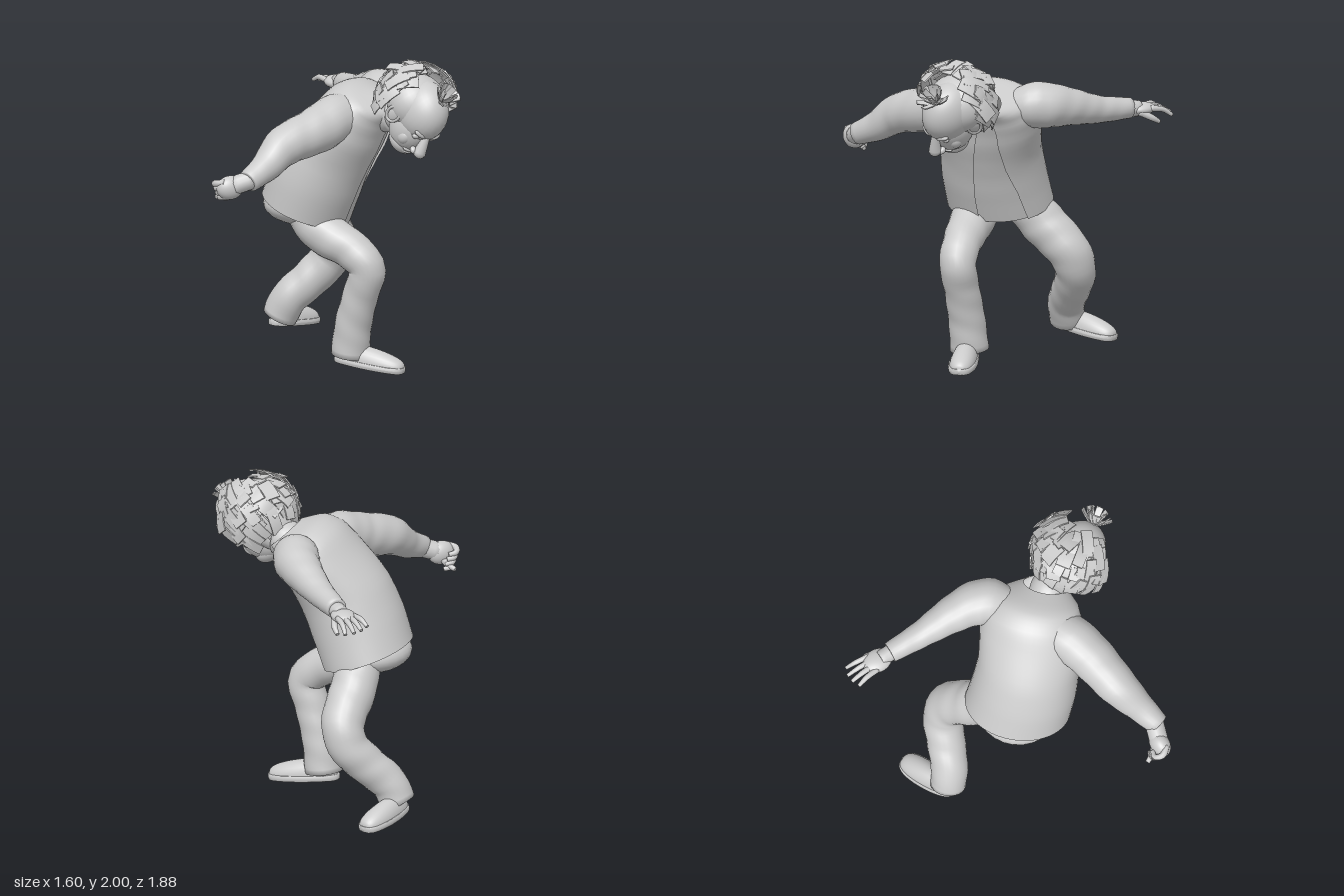
import * as THREE from 'three';

const V = (x, y, z) => new THREE.Vector3(x, y, z);
const mat = new THREE.MeshStandardMaterial({ color: 0xcccccc });
const thin = new THREE.MeshStandardMaterial({ color: 0xcccccc, side: THREE.DoubleSide });

let seed = 7;
const rnd = () => ((seed = (seed * 16807) % 2147483647) / 2147483647);
const jitter = (s) => (rnd() - 0.5) * 2 * s;

function part(parent, name, geometry, material = mat) {
  const mesh = new THREE.Mesh(geometry, material);
  mesh.name = name;
  parent.add(mesh);
  return mesh;
}

// Skin a list of point rings
function loft(rings, closed = true) {
  const n = rings[0].length;
  const index = [];
  for (let i = 0; i < rings.length - 1; i++) {
    for (let j = 0; j < (closed ? n : n - 1); j++) {
      const k = (j + 1) % n;
      const a = i * n + j, b = i * n + k, c = a + n, d = b + n;
      index.push(a, b, c, b, d, c);
    }
  }
  const g = new THREE.BufferGeometry().setFromPoints(rings.flat());
  g.setIndex(index);
  g.computeVertexNormals();
  return g;
}

// Round tube through [x, y, z, radius] stations, closed at both ends
function limb(stations, steps = 28, sides = 20, wrinkle = 0) {
  const curve = new THREE.CatmullRomCurve3(stations.map((s) => V(s[0], s[1], s[2])));
  const frames = curve.computeFrenetFrames(steps);
  const rings = [];
  const ring = (i, scale) => {
    const u = i / steps;
    const t = curve.getUtoTmapping(u) * (stations.length - 1);
    const k = Math.min(Math.floor(t), stations.length - 2);
    const r = THREE.MathUtils.lerp(stations[k][3], stations[k + 1][3], t - k) * scale;
    const p = curve.getPointAt(u);
    rings.push(Array.from({ length: sides }, (_, j) => {
      const a = (j / sides) * Math.PI * 2;
      const q = r * (1 + wrinkle * Math.sin(i * 1.3 + 2 * a));
      return p.clone().addScaledVector(frames.normals[i], q * Math.cos(a))
        .addScaledVector(frames.binormals[i], q * Math.sin(a));
    }));
  };
  ring(0, 0.001);
  for (let i = 0; i <= steps; i++) ring(i, 1);
  ring(steps, 0.75);
  ring(steps, 0.001);
  return loft(rings);
}

function ball(parent, name, pos, size) {
  const m = part(parent, name, new THREE.SphereGeometry(1, 28, 20));
  m.position.set(...pos);
  m.scale.set(...size);
  return m;
}

// Torso stations: centre, half width, half depth, forward lean, start and end angle of the opening
const TORSO = [
  [0.09, 0.98, -0.045, 0.33, 0.29, 0.36, -15, 39],
  [0.125, 1.17, 0.025, 0.325, 0.295, 0.38, -14, 34],
  [0.18, 1.35, 0.09, 0.315, 0.285, 0.45, -12, 24],
  [0.27, 1.52, 0.17, 0.33, 0.25, 0.6, -10, 16],
  [0.34, 1.64, 0.22, 0.315, 0.22, 0.75, -9, 12],
  [0.39, 1.695, 0.28, 0.26, 0.18, 0.85, -9, 10],
  [0.445, 1.69, 0.37, 0.14, 0.12, 0.95, -9, 9],
];

function torsoLoft(scale, open) {
  const centre = new THREE.CatmullRomCurve3(TORSO.map((s) => V(s[0], s[1], s[2])));
  const steps = 24, n = 48;
  const rings = [];
  for (let i = 0; i <= steps; i++) {
    const t = (i / steps) * (TORSO.length - 1);
    const k = Math.min(Math.floor(t), TORSO.length - 2);
    const [a, b, lean, g0, g1] = [3, 4, 5, 6, 7].map((c) => THREE.MathUtils.lerp(TORSO[k][c], TORSO[k + 1][c], t - k));
    const fwd = V(0.707, -lean, 0.707).normalize();
    const left = V(0.707, 0, -0.707);
    const p = centre.getPoint(i / steps);
    const from = open ? g1 : 0, to = open ? 360 + g0 : 360;
    rings.push(Array.from({ length: n }, (_, j) => {
      const ang = THREE.MathUtils.degToRad(from + ((to - from) * j) / (open ? n - 1 : n));
      return p.clone().addScaledVector(fwd, scale * b * Math.cos(ang)).addScaledVector(left, scale * a * Math.sin(ang));
    }));
  }
  return loft(rings, !open);
}

// Blunt-ended foot shape along z; height(y, z) gives the profile
function footShape(width, length, height) {
  const g = new THREE.SphereGeometry(1, 28, 24).rotateX(Math.PI / 2);
  const p = g.attributes.position;
  for (let i = 0; i < p.count; i++) {
    const z = p.getZ(i);
    const blunt = Math.pow(1.03 - z * z, -0.2);
    p.setXYZ(i, p.getX(i) * blunt * width * (1 + 0.14 * z), height(p.getY(i) * blunt, z), (z * length) / 2);
  }
  g.computeVertexNormals();
  return g;
}

function shoe(parent, name, pos, dir, length) {
  const g = new THREE.Group();
  g.name = name;
  g.position.set(...pos);
  g.lookAt(g.position.clone().add(V(...dir)));
  parent.add(g);
  part(g, 'shoeUpper', footShape(0.078, length * 0.97, (y, z) => 0.03 + Math.max(y, 0) * (0.095 - 0.025 * z)));
  part(g, 'shoeSole', footShape(0.087, length, (y) => 0.02 + THREE.MathUtils.clamp(y * 0.08, -0.02, 0.018)));
}

// Curved flat lock of hair, growing along +y
function lock(w, len, bend) {
  const g = new THREE.BoxGeometry(w, len, 0.008, 1, 4, 1);
  const p = g.attributes.position;
  for (let i = 0; i < p.count; i++) {
    const t = p.getY(i) / len;
    p.setZ(i, p.getZ(i) - bend * t * t);
  }
  g.computeVertexNormals();
  return g;
}

function buildHead() {
  const head = new THREE.Group();
  head.name = 'head';
  const f = V(0, -0.69, 0.72).normalize();
  const l = V(0.36, 0.675, 0.645).cross(f).normalize();
  head.quaternion.setFromRotationMatrix(new THREE.Matrix4().makeBasis(l, f.clone().cross(l), f));
  head.position.set(0.515, 1.67, 0.62);

  ball(head, 'cranium', [0, 0.06, 0.01], [0.15, 0.185, 0.195]);
  ball(head, 'face', [0, -0.06, 0.05], [0.13, 0.165, 0.145]);
  ball(head, 'jaw', [0, -0.165, 0.08], [0.1, 0.07, 0.095]);
  part(head, 'nose', limb([[0, 0.02, 0.18, 0.022], [0, -0.035, 0.21, 0.032], [0, -0.085, 0.235, 0.042], [0, -0.105, 0.24, 0.028]], 12, 14));
  ball(head, 'upperLip', [0, -0.14, 0.165], [0.06, 0.016, 0.024]);
  ball(head, 'lowerLip', [0, -0.168, 0.155], [0.048, 0.014, 0.026]);
  for (const s of [-1, 1]) {
    ball(head, 'nostril', [s * 0.034, -0.09, 0.21], [0.022, 0.02, 0.026]);
    ball(head, 'eye', [s * 0.06, -0.005, 0.165], [0.028, 0.02, 0.02]);
    ball(head, 'brow', [s * 0.06, 0.03, 0.178], [0.045, 0.016, 0.02]).rotation.set(0, s * 0.35, s * 0.2);
    ball(head, 'cheek', [s * 0.072, -0.08, 0.12], [0.045, 0.055, 0.045]);
    const ear = ball(head, 'ear', [s * 0.155, -0.03, 0.0], [0.018, 0.06, 0.04]);
    ear.rotation.y = -s * 0.5;
    const rim = part(head, 'earRim', new THREE.TorusGeometry(0.042, 0.01, 8, 20));
    rim.position.set(s * 0.165, -0.025, 0);
    rim.rotation.y = s * (Math.PI / 2 - 0.5);
    rim.scale.y = 1.35;
  }

  // Wreath of flat locks around the back and sides
  const hair = new THREE.Group();
  hair.name = 'hair';
  hair.position.set(-0.015, 0.03, -0.055);
  head.add(hair);
  ball(hair, 'hairBase', [0.015, 0.01, -0.01], [0.195, 0.17, 0.185]);
  [[-28, 12, 76], [-8, 14, 86], [10, 15, 92], [28, 14, 88], [45, 12, 78]].forEach(([lat, count, span], row) => {
    for (let i = 0; i < count; i++) {
      const a = THREE.MathUtils.degToRad(-span + (2 * span * i) / (count - 1) + jitter(5));
      const e = THREE.MathUtils.degToRad(lat + jitter(6));
      const m = part(hair, 'hairLock', lock(0.06 + 0.035 * rnd(), 0.13 + 0.06 * rnd(), 0.05));
      const r = 0.235 + 0.005 * row + jitter(0.015);
      m.position.set(Math.sin(a) * Math.cos(e) * r * 1.06, Math.sin(e) * r, -Math.cos(a) * Math.cos(e) * r);
      m.rotation.set(-e - 0.05 + jitter(0.3), Math.PI - a, jitter(0.3), 'YXZ');
    }
  });

  // Small splayed tuft on the crown
  const tuft = new THREE.Group();
  tuft.name = 'frontTuft';
  tuft.position.set(0, 0.225, 0.06);
  head.add(tuft);
  for (let i = 0; i < 16; i++) {
    const geo = lock(0.022 + 0.018 * rnd(), 0.13, 0.03).translate(0, 0.06, 0);
    part(tuft, 'tuftLock', geo).rotation.set(0.25 + 0.85 * rnd(), (i / 16) * Math.PI * 2, 0, 'YXZ');
  }
  return head;
}

export function createModel() {
  const model = new THREE.Group();
  model.name = 'leaningMan';

  // Open coat over shirt and hips
  part(model, 'coat', torsoLoft(1, true), thin);
  part(model, 'shirt', torsoLoft(0.95, false), thin);
  ball(model, 'hips', [0.09, 1.0, -0.045], [0.275, 0.13, 0.27]);
  part(model, 'neck', limb([[0.38, 1.61, 0.27, 0.09], [0.43, 1.63, 0.38, 0.1], [0.5, 1.65, 0.54, 0.1]], 10));
  part(model, 'collar', limb([[0.38, 1.61, 0.3, 0.1], [0.425, 1.63, 0.38, 0.118], [0.455, 1.64, 0.43, 0.115]], 8, 24));
  model.add(buildHead());

  // Sleeves
  part(model, 'rightSleeve', limb([[0.26, 1.63, 0.25, 0.13], [0.1, 1.62, 0.33, 0.15], [-0.05, 1.575, 0.385, 0.145],
    [-0.3, 1.51, 0.44, 0.125], [-0.45, 1.41, 0.5, 0.093], [-0.59, 1.345, 0.55, 0.07]], 30, 22, 0.012));
  part(model, 'leftSleeve', limb([[0.46, 1.64, 0.13, 0.1], [0.54, 1.66, 0.04, 0.145], [0.58, 1.655, -0.05, 0.142],
    [0.6, 1.63, -0.2, 0.118], [0.605, 1.585, -0.42, 0.085], [0.61, 1.565, -0.65, 0.065]], 30, 22, 0.012));

  // Open left hand
  const leftHand = new THREE.Group();
  leftHand.name = 'leftHand';
  model.add(leftHand);
  part(leftHand, 'leftWrist', limb([[0.61, 1.56, -0.6, 0.055], [0.61, 1.555, -0.72, 0.05]], 4, 14));
  ball(leftHand, 'leftPalm', [0.61, 1.55, -0.74], [0.075, 0.04, 0.095]);
  for (let i = 0; i < 4; i++) {
    const x = 0.56 + 0.034 * i, s = i - 1.5, end = -0.92 - (i === 1 || i === 2 ? 0.02 : 0);
    part(leftHand, 'leftFinger', limb([[x, 1.555, -0.77, 0.019], [x + 0.008 * s, 1.558 - 0.006 * i, -0.86, 0.017], [x + 0.016 * s, 1.53 - 0.01 * i, end, 0.012]], 10, 10));
  }
  part(leftHand, 'leftThumb', limb([[0.65, 1.54, -0.7, 0.024], [0.685, 1.5, -0.77, 0.02], [0.69, 1.47, -0.82, 0.013]], 10, 10));

  // Curled right hand
  const rightHand = new THREE.Group();
  rightHand.name = 'rightHand';
  model.add(rightHand);
  part(rightHand, 'rightWrist', limb([[-0.55, 1.355, 0.54, 0.06], [-0.67, 1.315, 0.505, 0.06]], 4, 14));
  ball(rightHand, 'rightPalm', [-0.69, 1.305, 0.5], [0.088, 0.075, 0.06]);
  for (let i = 0; i < 4; i++) {
    const y = 1.345 - 0.03 * i, x = -0.745 + 0.012 * i;
    part(rightHand, 'rightFinger', limb([[x + 0.01, y, 0.52, 0.021], [x - 0.03, y - 0.01, 0.47, 0.021],
      [x - 0.01, y - 0.025, 0.425, 0.018], [x + 0.035, y - 0.035, 0.435, 0.014]], 12, 10));
  }
  part(rightHand, 'rightThumb', limb([[-0.68, 1.28, 0.47, 0.024], [-0.71, 1.24, 0.43, 0.02], [-0.73, 1.225, 0.385, 0.014]], 10, 10));

  // Trouser legs
  part(model, 'rightTrouserLeg', limb([[0.03, 1.03, 0.0, 0.14], [0.09, 0.87, 0.165, 0.138], [0.215, 0.77, 0.335, 0.12],
    [0.28, 0.67, 0.415, 0.115], [0.26, 0.5, 0.37, 0.11], [0.235, 0.3, 0.315, 0.115], [0.225, 0.1, 0.285, 0.12]], 36, 24, 0.015));
  part(model, 'leftTrouserLeg', limb([[0.16, 1.03, -0.11, 0.13], [0.28, 0.84, -0.23, 0.145], [0.41, 0.66, -0.34, 0.135],
    [0.405, 0.54, -0.39, 0.127], [0.29, 0.4, -0.44, 0.12], [0.17, 0.28, -0.49, 0.115], [0.125, 0.16, -0.53, 0.11]], 36, 24, 0.015));

  // Shoes
  shoe(model, 'rightShoe', [0.31, 0.03, 0.385], [0.7, -0.1, 0.7], 0.46);
  shoe(model, 'leftShoe', [0.25, 0.085, -0.595], [0.92, -0.12, -0.36], 0.4);
  return model;
}
